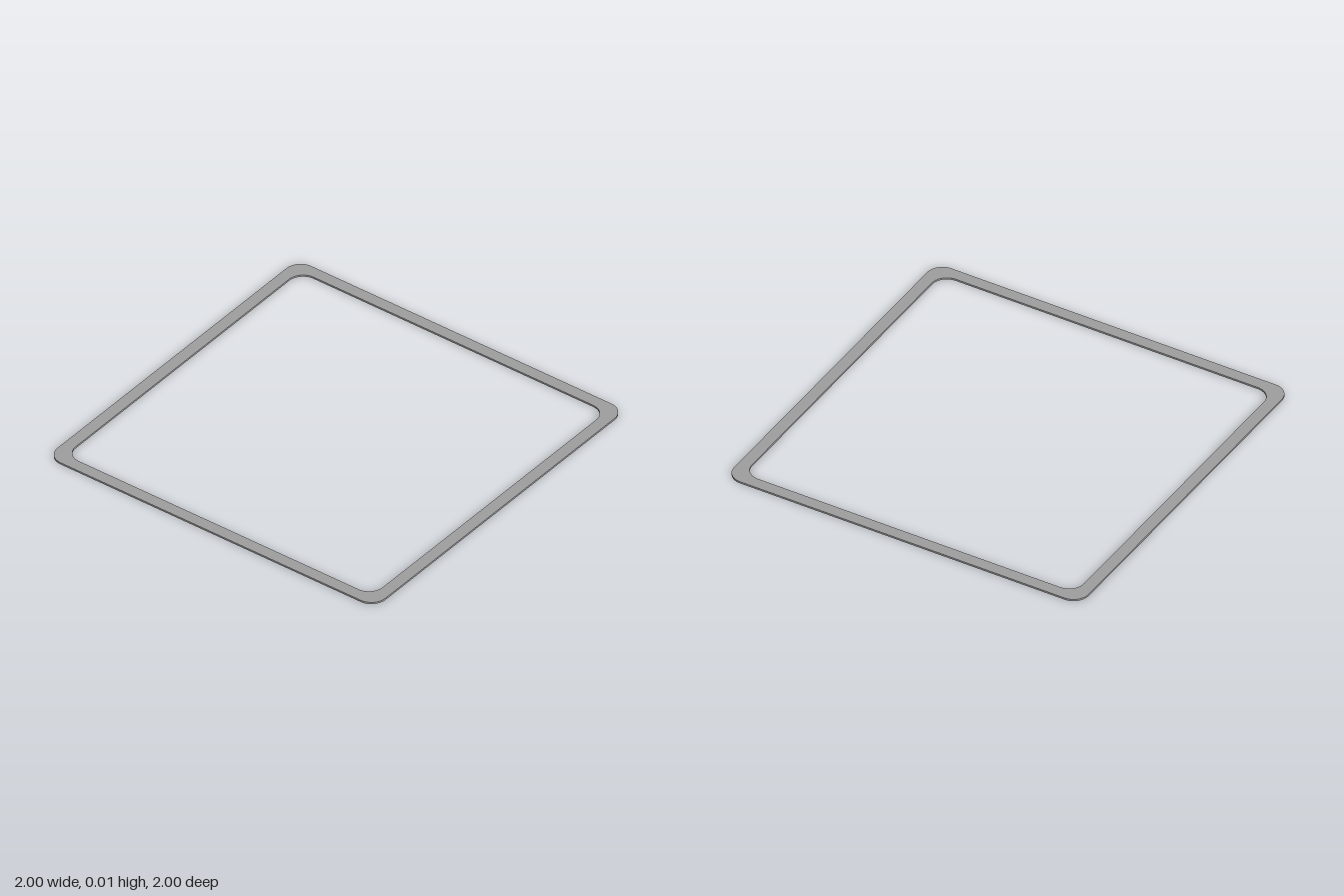
import * as THREE from 'three';

// Traces a rounded square centred on the origin
function roundedSquare(path, half, radius) {
  const c = half - radius;
  path.moveTo(c, -half);
  path.absarc(c, -c, radius, -Math.PI / 2, 0);
  path.absarc(c, c, radius, 0, Math.PI / 2);
  path.absarc(-c, c, radius, Math.PI / 2, Math.PI);
  path.absarc(-c, -c, radius, Math.PI, Math.PI * 1.5);
  path.closePath();
  return path;
}

export function createModel() {
  const group = new THREE.Group();
  const outerHalf = 1, innerHalf = 0.936, cornerRadius = 0.085, thickness = 0.01;

  // Flat frame with rounded corners inside and out
  const shape = roundedSquare(new THREE.Shape(), outerHalf, cornerRadius);
  shape.holes.push(roundedSquare(new THREE.Path(), innerHalf, cornerRadius));
  const geometry = new THREE.ExtrudeGeometry(shape, {
    depth: thickness, bevelEnabled: false, curveSegments: 12,
  });
  geometry.rotateX(-Math.PI / 2); // lay flat, base on y = 0

  const frame = new THREE.Mesh(geometry, new THREE.MeshStandardMaterial({ color: 0x9f9f9f }));
  frame.name = 'gasketFrame';
  group.add(frame);
  return group;
}
